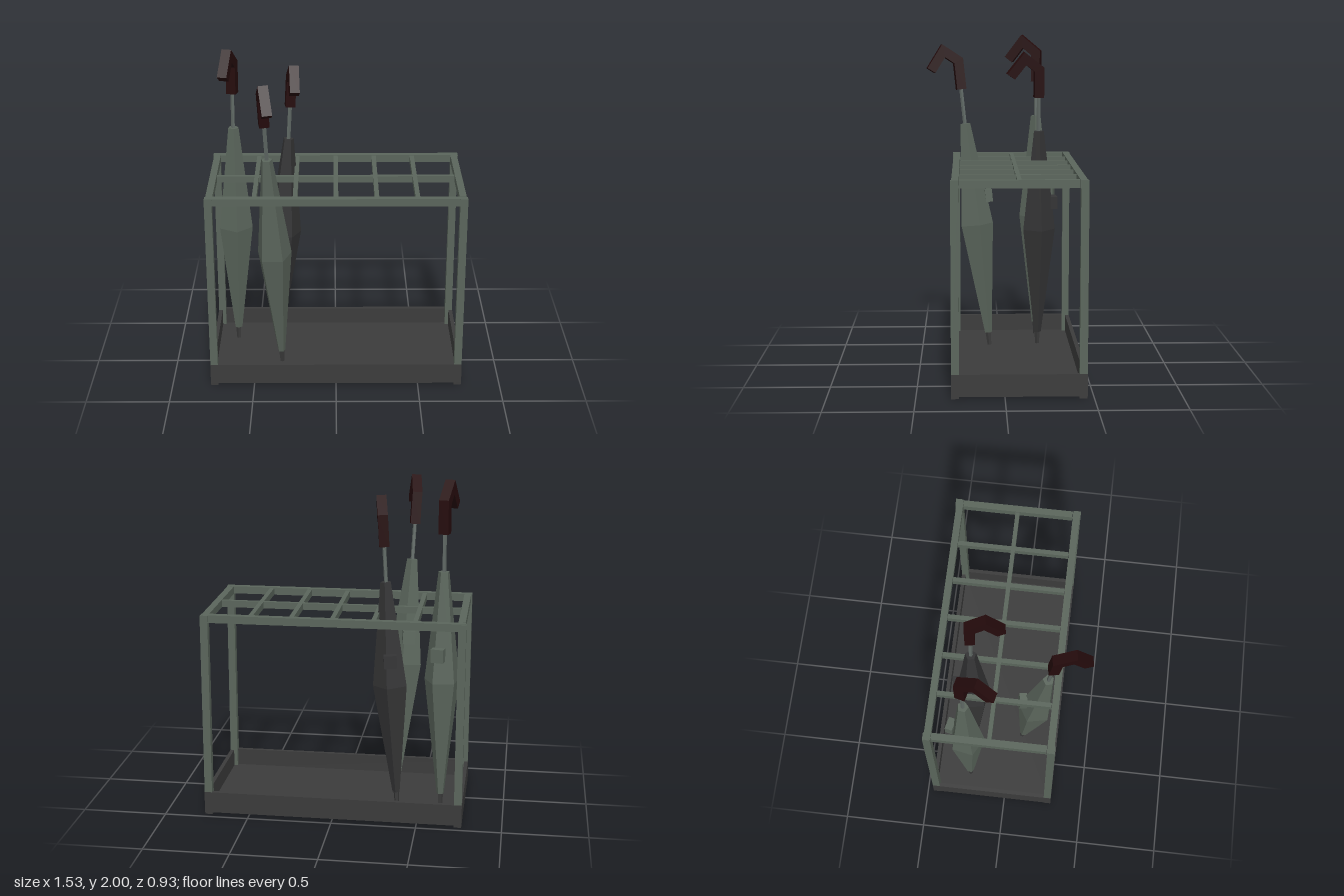
import * as THREE from 'three';

const mat = (name, color) => {
  const m = new THREE.MeshStandardMaterial({ color, flatShading: true });
  m.name = name;
  return m;
};

export function createModel() {
  const frameGreen = mat('frame green', 0x5a655b);
  const trayGrey = mat('tray grey', 0x3b3b3b);
  const sageCloth = mat('sage cloth', 0x5a655b);
  const darkCloth = mat('dark cloth', 0x343435);
  const handleBrown = mat('handle brown', 0x250b0c);
  const shaftMetal = mat('shaft metal', 0x616a66);

  const model = new THREE.Group();
  model.name = 'umbrellaStand';

  const add = (parent, name, geo, material, x = 0, y = 0, z = 0) => {
    const m = new THREE.Mesh(geo, material);
    m.name = name;
    m.position.set(x, y, z);
    parent.add(m);
    return m;
  };
  const box = (parent, name, material, w, h, d, x, y, z) =>
    add(parent, name, new THREE.BoxGeometry(w, h, d), material, x, y, z);

  // Stand, centred slightly behind the origin
  const stand = new THREE.Group();
  stand.name = 'stand';
  stand.position.z = -0.08;
  model.add(stand);
  const HX = 0.766, HZ = 0.383, T = 0.045;

  // Tray: floor and four walls
  box(stand, 'trayFloor', trayGrey, 2 * HX - 0.04, 0.02, 2 * HZ - 0.04, 0, 0.026, 0);
  for (const s of [-1, 1]) {
    box(stand, 'trayLongWall', trayGrey, 2 * HX, 0.128, 0.024, 0, 0.076, s * (HZ - 0.012));
    box(stand, 'trayShortWall', trayGrey, 0.024, 0.128, 2 * HZ - 0.048, s * (HX - 0.012), 0.076, 0);
  }

  // Posts, feet and the slightly inset top rim
  const RX = HX - 0.005, RZ = HZ - 0.005;
  for (const sx of [-1, 1]) {
    for (const sz of [-1, 1]) {
      const px = sx * (HX - T / 2 - 0.001), pz = sz * (HZ - T / 2 - 0.001);
      box(stand, 'post', frameGreen, T, 1.199, T, px, 0.6285, pz);
      box(stand, 'foot', trayGrey, T, 0.03, T, px, 0.015, pz);
    }
    box(stand, 'rimLong', frameGreen, 2 * RX, T, T - 0.004, 0, 1.2075, sx * (RZ - T / 2));
    box(stand, 'rimShort', frameGreen, T - 0.004, T, 2 * (RZ - T), sx * (RX - T / 2), 1.2075, 0);
  }

  // Divider bars across the top
  box(stand, 'dividerLong', frameGreen, 2 * (RX - T), 0.04, 0.025, 0, 1.207, 0);
  for (let i = -2; i <= 2; i++) {
    box(stand, 'dividerShort', frameGreen, 0.027, 0.041, 2 * (RZ - T), i * 0.238, 1.207, 0);
  }

  // Square bar mitred along a bent path in the y-z plane
  function mitredBar(path, half) {
    const pos = [], index = [];
    const pts = path.map(([z, y]) => new THREE.Vector2(z, y));
    pts.forEach((p, i) => {
      const a = i > 0 ? p.clone().sub(pts[i - 1]).normalize() : null;
      const b = i < pts.length - 1 ? pts[i + 1].clone().sub(p).normalize() : null;
      const t = (a || b).clone().add(b || a).normalize();
      const stretch = 1 / t.dot(a || b);
      for (const [sx, so] of [[1, 1], [-1, 1], [-1, -1], [1, -1]]) {
        const out = so * half * stretch;
        pos.push(sx * half, p.y + t.x * out, p.x - t.y * out);
      }
    });
    for (let i = 0; i < pts.length - 1; i++) {
      for (let k = 0; k < 4; k++) {
        const a = i * 4 + k, b = i * 4 + ((k + 1) % 4);
        index.push(a, b, a + 4, b, b + 4, a + 4);
      }
    }
    const e = (pts.length - 1) * 4;
    index.push(0, 2, 1, 0, 3, 2, e, e + 1, e + 2, e, e + 2, e + 3);
    const g = new THREE.BufferGeometry();
    g.setAttribute('position', new THREE.Float32BufferAttribute(pos, 3));
    g.setIndex(index);
    const flat = g.toNonIndexed();
    flat.computeVertexNormals();
    return flat;
  }

  // Furled five-sided umbrella with a crook handle
  function umbrella(name, cloth, base, dir, yaw, length) {
    const u = new THREE.Group();
    u.name = name;
    const profile = [[0, 0.08], [0.023, 0.08], [0.107, 0.79], [0.033, 1.44], [0, 1.44]]
      .map(([r, y]) => new THREE.Vector2(r, y));
    add(u, 'canopy', new THREE.LatheGeometry(profile, 5, 0.36), cloth);
    add(u, 'tip', new THREE.CylinderGeometry(0.018, 0.013, 0.09, 5), trayGrey, 0, 0.045, 0);
    add(u, 'shaft', new THREE.CylinderGeometry(0.012, 0.012, 0.28, 5), shaftMetal, 0, 1.55, 0);
    const crook = [[0, 1.66], [0, 1.842], [0.088, 1.914], [0.177, 1.798]];
    add(u, 'handle', mitredBar(crook, 0.029), handleBrown);
    // Closing strap at the back
    box(u, 'strap', cloth, 0.075, 0.08, 0.045, 0, 0.965, -0.095);
    u.position.set(...base);
    u.scale.set(1, length, 1);
    const up = new THREE.Vector3(0, 1, 0);
    u.quaternion.setFromUnitVectors(up, new THREE.Vector3(...dir).normalize())
      .multiply(new THREE.Quaternion().setFromAxisAngle(up, yaw));
    model.add(u);
  }

  umbrella('umbrellaBackRight', sageCloth, [-0.625, 0.04, -0.235], [0.003, 1, 0], -0.23, 1);
  umbrella('umbrellaFront', sageCloth, [-0.335, 0.04, 0.07], [-0.046, 1, 0.108], 0.18, 0.983);
  umbrella('umbrellaBackMiddle', darkCloth, [-0.365, 0.04, -0.235], [0.057, 1, 0], 0.14, 0.952);

  return model;
}
